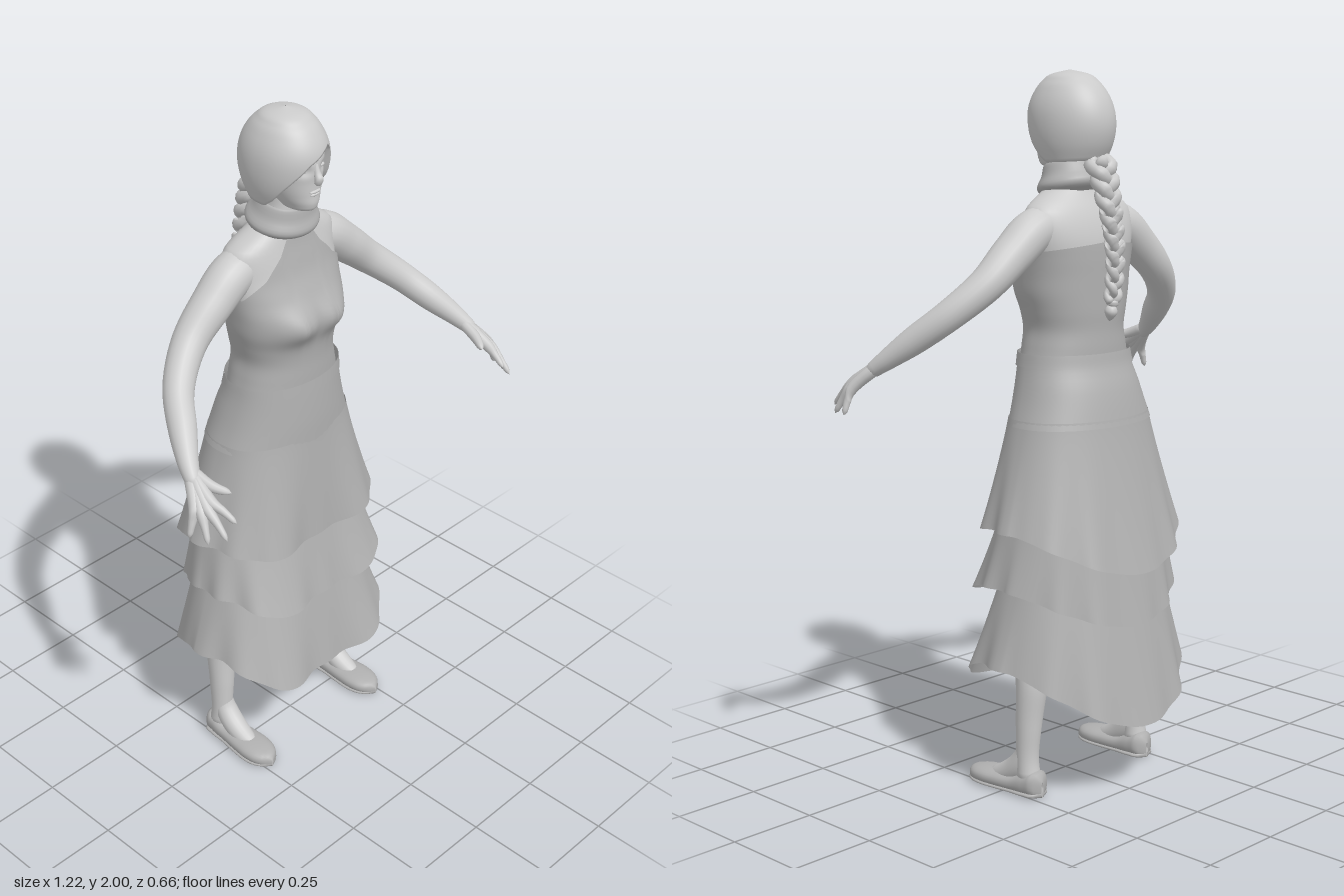
import * as THREE from 'three';

const { sin, cos, abs, sign, exp, PI } = Math;
const mat = (name, color, side = THREE.FrontSide) => {
  const m = new THREE.MeshStandardMaterial({ color, side });
  m.name = name;
  return m;
};

// rows of [key, ...values] -> function giving smooth (or straight) values at a key
function table(rows, Type = THREE.CubicInterpolant) {
  const size = rows[0].length - 1;
  const f = new Type(rows.map(r => r[0]), rows.flatMap(r => r.slice(1)), size, new Array(size).fill(0));
  return k => f.evaluate(k);
}

// closed-around surface; fn(angle, v, row) returns [x, y, z]
function surface(fn, nu, nv) {
  const pos = [], idx = [];
  for (let j = 0; j <= nv; j++)
    for (let i = 0; i < nu; i++) pos.push(...fn(-PI + i / nu * 2 * PI, j / nv, j));
  for (let j = 0; j < nv; j++)
    for (let i = 0; i < nu; i++) {
      const a = j * nu + i, b = j * nu + (i + 1) % nu;
      idx.push(a, b, a + nu, b, b + nu, a + nu);
    }
  const g = new THREE.BufferGeometry();
  g.setAttribute('position', new THREE.Float32BufferAttribute(pos, 3));
  g.setIndex(idx);
  g.computeVertexNormals();
  return g;
}

// round limb through [x, y, z, radius] points, with rounded ends
function limb(pts, nu = 16, nv = 24) {
  const curve = new THREE.CatmullRomCurve3(pts.map(p => new THREE.Vector3(p[0], p[1], p[2])));
  const fr = curve.computeFrenetFrames(nv, false);
  const rad = table(pts.map((p, i) => [i / (pts.length - 1), p[3]]));
  return surface((a, v, j) => {
    const r = j === 0 || j === nv ? 0.0005 : rad(v)[0] * (j === 1 || j === nv - 1 ? 0.8 : 1);
    const p = curve.getPoint(v).addScaledVector(fr.normals[j], r * cos(a)).addScaledVector(fr.binormals[j], r * sin(a));
    return [p.x, p.y, p.z];
  }, nu, nv);
}

// oval ring point from [halfWidth, zFront, zBack]; exponents square off front and back
function oval(s, t, off, front, back = 1) {
  const c = cos(t), mid = (s[1] + s[2]) / 2, rz = (s[1] - s[2]) / 2 + off;
  return [(s[0] + off) * sin(t), mid + rz * sign(c) * abs(c) ** (c > 0 ? front : back)];
}

export function createModel() {
  const model = new THREE.Group();
  const skin = mat('skin', 0xcccccc);
  const hair = mat('hair', 0xcacaca, THREE.DoubleSide);
  const cloth = mat('cloth', 0xb0b0b0, THREE.DoubleSide);
  const add = (name, geo, m, parent = model) => {
    const mesh = new THREE.Mesh(geo, m);
    mesh.name = name;
    parent.add(mesh);
    return mesh;
  };

  // torso: y, half width, front, back
  const torso = table([
    [1.1, 0.165, 0.08, -0.15], [1.2, 0.163, 0.085, -0.15], [1.25, 0.152, 0.086, -0.15],
    [1.3, 0.143, 0.086, -0.148], [1.35, 0.153, 0.09, -0.15], [1.4, 0.166, 0.099, -0.15],
    [1.45, 0.172, 0.097, -0.15], [1.5, 0.178, 0.077, -0.15], [1.55, 0.186, 0.055, -0.147],
    [1.6, 0.188, 0.042, -0.135], [1.635, 0.175, 0.034, -0.12], [1.665, 0.125, 0.03, -0.103],
    [1.7, 0.07, 0.027, -0.088], [1.8, 0.055, 0.025, -0.08]]);
  const torsoPoint = (t, y, off) => {
    const [x, z] = oval(torso(y), t, off, 0.85, 0.85);
    const bust = 0.032 * exp(-(((abs(x) - 0.07) / 0.065) ** 2) - ((y - 1.42) / 0.045) ** 2);
    return [x, y, z + Math.max(cos(t), 0) * bust];
  };
  add('torso', surface((t, v) => torsoPoint(t, 1.1 + 0.7 * v, 0), 48, 48), skin);

  // halter top with bare shoulders and open upper back
  const neckline = table([[0, 1.7], [0.28, 1.69], [0.36, 1.62], [0.7, 1.56], [1.3, 1.51], [PI, 1.54]], THREE.LinearInterpolant);
  add('halterTop', surface((t, v) => torsoPoint(t, 1.18 + (neckline(abs(t))[0] - 1.18) * v, 0.006), 96, 40), cloth);
  const collarProfile = [[0.076, -0.045], [0.1, -0.03], [0.105, -0.012], [0.089, 0.012], [0.078, 0.04], [0.07, 0.044], [0.062, 0.02]];
  const collar = add('collar', new THREE.LatheGeometry(
    new THREE.SplineCurve(collarProfile.map(p => new THREE.Vector2(...p))).getPoints(18), 40), cloth);
  collar.position.set(0, 1.708, -0.025);
  collar.scale.z = 0.9;
  collar.rotation.x = 0.22;

  // skirt yoke and waistband
  const yoke = table([
    [1.04, 0.229, 0.1, -0.215], [1.1, 0.207, 0.1, -0.202], [1.15, 0.192, 0.098, -0.188],
    [1.2, 0.179, 0.095, -0.168], [1.24, 0.172, 0.092, -0.16]]);
  const band = (y0, y1, off) => surface((t, v) => {
    const y = y0 + (y1 - y0) * v, [x, z] = oval(yoke(y), t, off, 0.85, 0.92);
    return [x, y, z];
  }, 56, 10);
  add('skirtYoke', band(1.04, 1.225, 0), cloth);
  add('waistband', band(1.2, 1.237, 0.004), cloth);

  // three flared tiers: top [w, f, b], hem [w, f, b], hem heights [front, side, back]
  const tier = (name, topY, top, hem, hemY, folds, power) => add(name, surface((t, v) => {
    const c = cos(t), k = 1 - v, f = k ** power;
    const low = hemY[1] + (c > 0 ? (hemY[0] - hemY[1]) * THREE.MathUtils.smoothstep(c, 0.25, 0.95) : (hemY[2] - hemY[1]) * c * c);
    const s = top.map((a, i) => a + (hem[i] - a) * f);
    const ripple = 1 + k * k * (0.018 * cos(folds * t) + 0.01 * cos((folds + 5) * t));
    const mid = (s[1] + s[2]) / 2;
    const [x, z] = oval(s, t, 0, 0.78, 0.92 + 0.2 * k);
    const corner = c > 0 ? 1 - 0.13 * k * cos(4 * t) : 1;
    return [x * ripple, low + (topY - low) * v, mid + (z - mid) * ripple * corner];
  }, 128, 24), cloth);
  tier('upperTier', 1.06, [0.222, 0.099, -0.211], [0.312, 0.146, -0.305], [0.73, 0.762, 0.64], 12, 1.1);
  tier('middleTier', 0.82, [0.26, 0.095, -0.235], [0.31, 0.178, -0.29], [0.54, 0.6, 0.49], 14, 1.1);
  tier('lowerTier', 0.62, [0.255, 0.105, -0.24], [0.328, 0.195, -0.327], [0.28, 0.38, 0.21], 12, 1);

  // arms, hands, legs and shoes, mirrored
  for (const side of [1, -1]) {
    const half = new THREE.Group();
    half.name = side > 0 ? 'leftLimbs' : 'rightLimbs';
    half.scale.x = side;
    model.add(half);
    add('arm', limb([
      [0.07, 1.59, -0.05, 0.05], [0.165, 1.575, -0.045, 0.06], [0.25, 1.515, -0.042, 0.056],
      [0.34, 1.44, -0.034, 0.048], [0.43, 1.36, 0.018, 0.042], [0.485, 1.295, 0.09, 0.038],
      [0.53, 1.237, 0.158, 0.027], [0.552, 1.2, 0.205, 0.018]], 20, 40), skin, half);
    // fingers run from inside the wrist so that they fill the palm: knuckle, tip
    const fingers = [
      [[0.546, 1.178, 0.258], [0.53, 1.142, 0.33]], [[0.562, 1.166, 0.26], [0.563, 1.105, 0.33]],
      [[0.575, 1.158, 0.25], [0.593, 1.09, 0.292]], [[0.584, 1.158, 0.235], [0.608, 1.092, 0.238]]];
    for (const [k, tip] of fingers) {
      const q = k.map((a, i) => a + (tip[i] - a) * 0.5);
      add('finger', limb([[0.532, 1.234, 0.162, 0.018], [...k, 0.016], [q[0], q[1] + 0.004, q[2], 0.0105], [...tip, 0.007]], 10, 18), skin, half);
    }
    add('thumb', limb([[0.532, 1.23, 0.165, 0.016], [0.522, 1.205, 0.23, 0.015], [0.496, 1.193, 0.278, 0.008]], 10, 14), skin, half);

    add('leg', limb([
      [0.225, 0.035, -0.075, 0.034], [0.225, 0.11, -0.068, 0.032], [0.222, 0.2, -0.07, 0.037],
      [0.215, 0.32, -0.075, 0.045], [0.2, 0.45, -0.06, 0.05], [0.17, 0.65, -0.05, 0.07],
      [0.13, 0.9, -0.05, 0.085]], 20, 40), skin, half);
    const foot = new THREE.Group();
    foot.name = 'foot';
    foot.position.set(0.223, 0, -0.06);
    foot.rotation.y = 0.03;
    half.add(foot);
    add('instep', limb([[0, 0.17, -0.009, 0.022], [0, 0.11, 0.004, 0.031], [0, 0.068, 0.035, 0.034], [0, 0.035, 0.09, 0.03], [0, 0.026, 0.13, 0.02]], 18, 24), skin, foot);
    // shoe: z, half width, height
    const last = table([
      [-0.062, 0.004, 0.045], [-0.053, 0.028, 0.068], [-0.02, 0.04, 0.068], [0.03, 0.042, 0.052],
      [0.09, 0.048, 0.049], [0.14, 0.05, 0.048], [0.18, 0.04, 0.043], [0.203, 0.02, 0.035], [0.211, 0.003, 0.024]]);
    const shoe = (wide, height) => surface((a, v) => {
      const z = -0.062 + 0.273 * v, [w, h] = last(z), r = (height || h) / 2;
      return [w * wide * sign(cos(a)) * abs(cos(a)) ** 0.85, r + r * sign(sin(a)) * abs(sin(a)) ** 0.85, z];
    }, 28, 28);
    add('shoe', shoe(1), cloth, foot);
    add('sole', shoe(1.03, 0.016), cloth, foot);
  }

  // face: y, half width, front, back
  const face = table([
    [1.732, 0.012, 0.055, 0], [1.74, 0.032, 0.08, -0.03], [1.755, 0.044, 0.09, -0.06], [1.785, 0.06, 0.092, -0.09],
    [1.82, 0.072, 0.093, -0.11], [1.87, 0.08, 0.097, -0.12], [1.92, 0.075, 0.08, -0.11], [1.96, 0.045, 0.04, -0.07]]);
  add('face', surface((t, v) => {
    const y = 1.732 + 0.228 * v, [x, z] = oval(face(y), t, 0, 0.9);
    const socket = 0.009 * exp(-(((abs(x) - 0.033) / 0.018) ** 2) - ((y - 1.858) / 0.013) ** 2);
    return [x, y, z - (cos(t) > 0 ? socket : 0)];
  }, 64, 48), skin);
  add('nose', limb([[0, 1.885, 0.086, 0.006], [0, 1.852, 0.096, 0.009], [0, 1.832, 0.103, 0.0125], [0, 1.822, 0.094, 0.011]], 14, 18), skin);
  const blob = (name, x, y, z, sx, sy, sz) => {
    const b = add(name, new THREE.SphereGeometry(1, 16, 12), skin);
    b.position.set(x, y, z);
    b.scale.set(sx, sy, sz);
  };
  blob('upperLip', 0, 1.797, 0.09, 0.02, 0.005, 0.007);
  blob('lowerLip', 0, 1.789, 0.089, 0.017, 0.005, 0.007);
  for (const s of [1, -1]) blob('eye', s * 0.033, 1.857, 0.074, 0.014, 0.006, 0.01);

  // hair cap with a swept fringe; lower edge by angle around the head
  const skull = table([
    [1.75, 0.086, 0.055, -0.118], [1.8, 0.102, 0.088, -0.144], [1.85, 0.108, 0.104, -0.155], [1.9, 0.104, 0.104, -0.148],
    [1.94, 0.09, 0.087, -0.128], [1.97, 0.071, 0.062, -0.1], [1.99, 0.045, 0.03, -0.067], [2, 0.002, -0.015, -0.019]]);
  const hairline = table([
    [-PI, 1.76], [-1.35, 1.752], [-1.1, 1.775], [-0.88, 1.81], [-0.65, 1.84], [-0.3, 1.878], [0.2, 1.903],
    [0.5, 1.912], [0.65, 1.89], [0.82, 1.81], [1.1, 1.768], [1.35, 1.752], [PI, 1.76]], THREE.LinearInterpolant);
  add('hairCap', surface((t, v, j) => {
    const low = hairline(t)[0], y = low + (2 - low) * sin(Math.max(v - 1 / 40, 0) / (39 / 40) * PI / 2);
    const [x, z] = oval(skull(y), t, 0, 0.9);
    const k = j === 0 ? 0.84 : 1;
    return [x * k, y, -0.025 + (z + 0.025) * k];
  }, 96, 40), hair);

  // three-strand braid down the back
  const spine = table([
    [0, 1.765, -0.125], [0.2, 1.69, -0.15], [0.45, 1.59, -0.173], [0.7, 1.49, -0.185], [1, 1.375, -0.176]]);
  for (let s = 0; s < 3; s++) {
    const pts = [];
    for (let i = 0; i <= 48; i++) {
      const k = i / 48, a = k * 6 * PI + s * 2 * PI / 3, thin = 1 - 0.45 * k;
      const [y, z] = spine(k);
      pts.push([0.027 * thin * sin(a), y, z + 0.018 * thin * sin(2 * a), 0.0205 * thin]);
    }
    add('braidStrand', limb(pts, 10, 120), hair);
  }
  add('braidTie', limb([[0, 1.386, -0.177, 0.017], [0, 1.376, -0.176, 0.018], [0, 1.366, -0.174, 0.016]], 14, 8), hair);
  add('braidTail', limb([[0, 1.37, -0.175, 0.01], [0, 1.35, -0.171, 0.018], [0, 1.325, -0.166, 0.005]], 14, 12), hair);

  return model;
}
